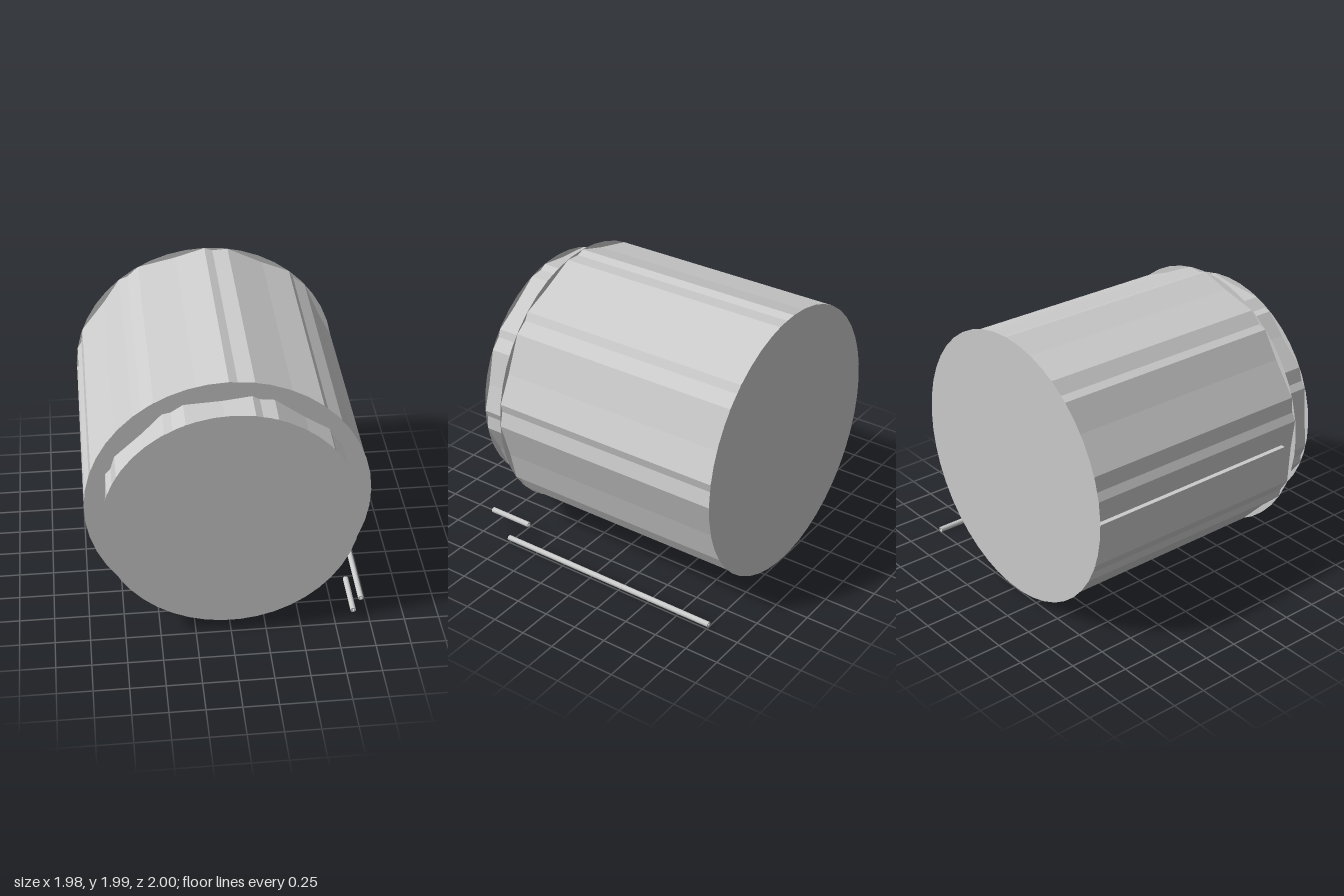
import * as THREE from 'three';

const material = new THREE.MeshStandardMaterial({
  color: 0xcccccc, flatShading: true, side: THREE.DoubleSide,
});

// Straight prism along z from a closed outline
function prism(name, shape, zBack, zFront) {
  const geometry = new THREE.ExtrudeGeometry(shape, {
    depth: zFront - zBack, bevelEnabled: false, curveSegments: 10,
  });
  geometry.translate(0, 0, zBack);
  const mesh = new THREE.Mesh(geometry, material);
  mesh.name = name;
  return mesh;
}

// One 40 degree sector of a drum wall: [angle, relative radius].
// A narrow grooved facet is followed by a wide, slightly dished one.
const SECTOR = [[0, 1], [6.5, 0.98], [10, 1], [23, 0.958]];

// Drum wall of nine sectors, closed by thin rounder end discs
function drum(name, radius, startDegrees, zBack, zFront) {
  const points = [];
  for (let sector = 0; sector < 9; sector++) {
    for (const [angle, scale] of SECTOR) {
      const a = THREE.MathUtils.degToRad(startDegrees + sector * 40 + angle);
      points.push(new THREE.Vector2(
        Math.cos(a) * radius * scale, 1 + Math.sin(a) * radius * scale));
    }
  }
  const group = new THREE.Group();
  group.name = name;
  group.add(prism(name + 'Wall', new THREE.Shape(points), zBack + 0.002, zFront - 0.002));
  for (const [end, z] of [['Back', zBack], ['Front', zFront]]) {
    const disc = new THREE.Mesh(
      new THREE.CircleGeometry(radius, 45, Math.PI / 2), material);
    disc.position.set(0, 1, z);
    if (end === 'Back') disc.scale.x = disc.scale.z = -1;
    disc.name = name + end + 'Disc';
    group.add(disc);
  }
  return group;
}

// Thin hollow rod along z
function rod(name, x, y, zBack, zFront) {
  const shape = new THREE.Shape().absarc(x, y, 0.02, 0, Math.PI * 2, false);
  shape.holes.push(new THREE.Path().absarc(x, y, 0.008, 0, Math.PI * 2, true));
  return prism(name, shape, zBack, zFront);
}

export function createModel() {
  const model = new THREE.Group();
  model.name = 'drum';

  // Large drum and the smaller neck in front of it
  model.add(drum('body', 0.992, 0, -1, 0.77));
  model.add(drum('frontNeck', 0.887, 30, 0.77, 1));

  // Loose rods beside the drum
  model.add(rod('longRod', 0.973, 0.027, -1, 0.77));
  model.add(rod('shortRod', 0.873, 0.128, 0.66, 1));

  // Thin seam strips on the side and underneath
  for (const [name, w, h, x, y] of [
    ['sideSeam', 0.04, 0.01, -0.97, 1],
    ['bottomSeam', 0.01, 0.04, -0.01, 0.03],
  ]) {
    const strip = new THREE.Mesh(new THREE.BoxGeometry(w, h, 1.66), material);
    strip.position.set(x, y, -0.165);
    strip.name = name;
    model.add(strip);
  }
  return model;
}
